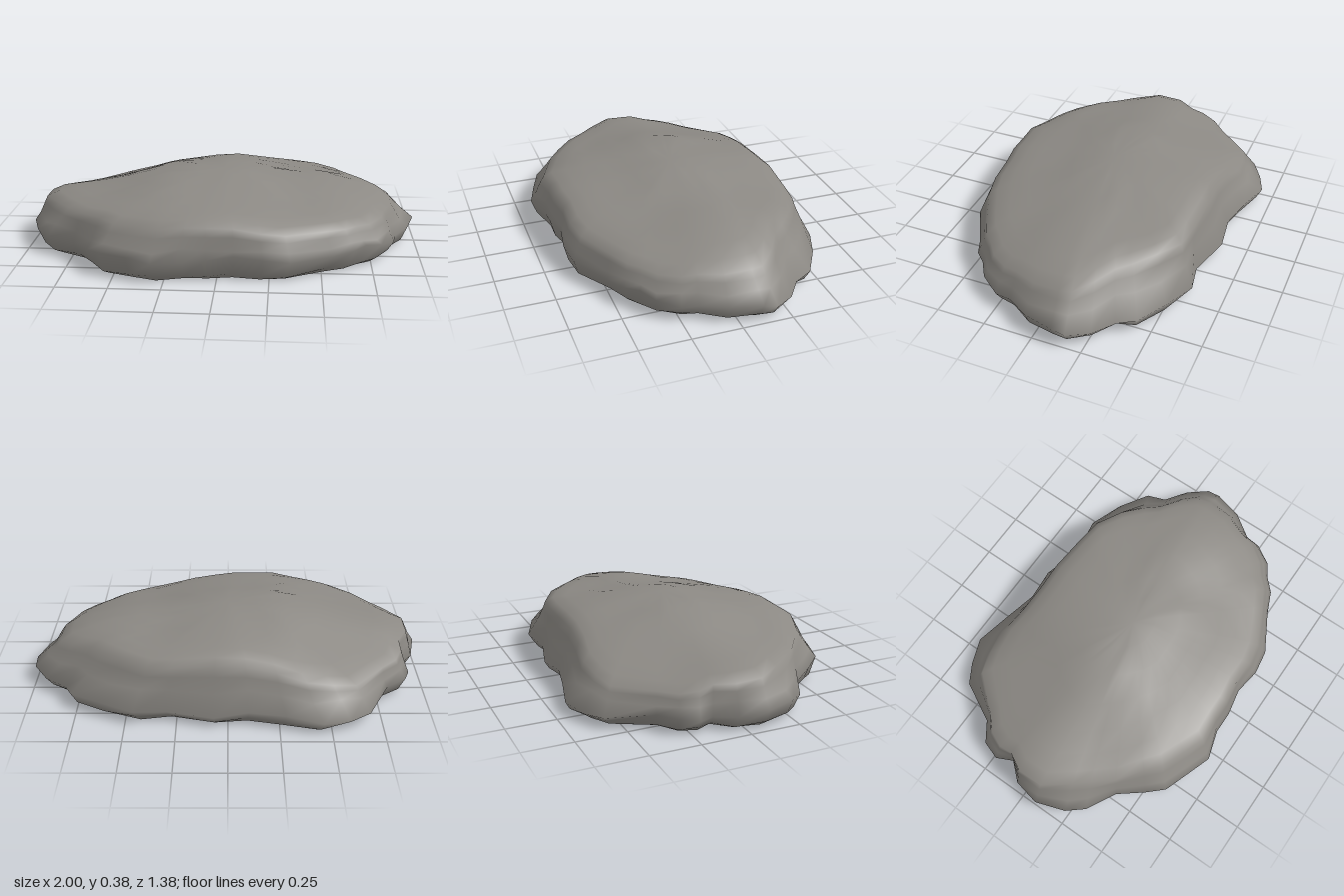
import * as THREE from 'three';

// Widest outline of the stone, clockwise from above: [x, z, inset of the upper rim]
const OUTLINE = [
  [1, -0.17, 0.86], [1, -0.1, 0.87], [0.96, 0.05, 0.9], [0.88, 0.17, 0.93], [0.87, 0.25, 0.92],
  [0.8, 0.35, 0.92], [0.72, 0.4, 0.93], [0.66, 0.46, 0.93], [0.55, 0.51, 0.94], [0.35, 0.62, 0.92],
  [0.22, 0.64, 0.93], [0.08, 0.62, 0.96], [-0.05, 0.645, 0.95], [-0.16, 0.645, 0.95], [-0.31, 0.69, 0.9],
  [-0.43, 0.65, 0.89], [-0.57, 0.6, 0.88], [-0.64, 0.52, 0.9], [-0.73, 0.4, 0.95], [-0.88, 0.32, 0.88],
  [-0.95, 0.24, 0.88], [-1, 0.09, 0.93], [-0.97, -0.05, 0.96], [-0.89, -0.14, 0.99], [-0.93, -0.22, 0.95],
  [-0.9, -0.31, 0.94], [-0.8, -0.38, 0.96], [-0.69, -0.59, 0.9], [-0.59, -0.65, 0.86], [-0.46, -0.695, 0.82],
  [-0.28, -0.65, 0.84], [-0.1, -0.61, 0.88], [0.07, -0.63, 0.86], [0.3, -0.57, 0.93], [0.46, -0.6, 0.86],
  [0.63, -0.53, 0.83], [0.78, -0.44, 0.8], [0.82, -0.35, 0.83], [0.93, -0.27, 0.84],
];

// Crown height falloff along each axis: [position, fraction]
const ALONG_X = [[-1, 0.58], [-0.9, 0.67], [-0.6, 0.79], [-0.4, 0.9], [-0.27, 1.02], [0, 0.98], [0.2, 0.94],
  [0.3, 0.88], [0.55, 0.85], [0.8, 0.69], [0.9, 0.57], [1, 0.45]];
const ALONG_Z = [[-0.7, 0.66], [-0.52, 0.81], [-0.45, 0.87], [-0.3, 0.93], [-0.1, 1], [0.1, 0.97],
  [0.3, 0.87], [0.45, 0.83], [0.6, 0.72], [0.7, 0.62]];

function sample(table, t) {
  for (let i = 1; i < table.length; i++) {
    const [t0, v0] = table[i - 1], [t1, v1] = table[i];
    if (t <= t1) return v0 + (v1 - v0) * Math.max(0, (t - t0) / (t1 - t0));
  }
  return table[table.length - 1][1];
}

// Crown height; the front-left and back-right shoulders slope away more softly
function crown(x, z) {
  const a = sample(ALONG_X, x), b = sample(ALONG_Z, z);
  const shoulder = 1 - 0.75 * Math.max(0, x * z) - 0.25 * Math.abs(x * z);
  const ripple = 0.004 * Math.sin(9 * x + 5 * z) * Math.cos(8 * z - 3 * x);
  return 0.39 * (0.5 * Math.min(a, b) + 0.5 * a * b) * shoulder + ripple;
}

function stoneGeometry() {
  const n = OUTLINE.length, positions = [], index = [];
  const wall = (top, f) => 0.085 + (top - 0.085) * f;
  // Each ring gives the plan scale and height for an outline point;
  // the back wall draws in lower down than the front wall
  const rings = [
    () => [0.925, 0],
    (r, top, z, j) => [0.965, 0.024 + 0.008 * Math.sin(j * 1.9)],
    (r, top, z, j) => [1, 0.085 + 0.035 * z + 0.015 * Math.sin(j * 1.3)],
    (r, top, z, j) => [1 + (r - 1) * (0.45 - 0.2 * z), wall(top, 0.37) + 0.01 * Math.sin(j * 2.1)],
    (r, top, z) => [1 + (r - 1) * (0.78 - 0.1 * z), wall(top, 0.7)],
    (r, top) => [r, wall(top, 0.92)],
    ...[0.93, 0.82, 0.68, 0.52, 0.35, 0.17].map((k) => (r) => [r * k, null]),
  ];
  for (const ring of rings) {
    OUTLINE.forEach(([x, z, rim], j) => {
      const [s, y] = ring(rim, crown(x * rim, z * rim), z, j);
      positions.push(x * s, y === null ? crown(x * s, z * s) : y, z * s);
    });
  }
  for (let i = 0; i < rings.length - 1; i++) {
    for (let j = 0; j < n; j++) {
      const a = i * n + j, b = i * n + (j + 1) % n;
      index.push(a, a + n, b, b, a + n, b + n);
    }
  }
  // Close the crown
  const last = (rings.length - 1) * n, centre = positions.length / 3;
  positions.push(0, crown(0, 0), 0);
  for (let j = 0; j < n; j++) index.push(last + j, centre, last + (j + 1) % n);
  const geometry = new THREE.BufferGeometry();
  geometry.setAttribute('position', new THREE.Float32BufferAttribute(positions, 3));
  geometry.setIndex(index);
  geometry.computeVertexNormals();
  return geometry;
}

// Flat underside matching the lowest ring
function undersideGeometry() {
  const shape = new THREE.Shape(OUTLINE.map(([x, z]) => new THREE.Vector2(x * 0.925, z * 0.925)));
  return new THREE.ShapeGeometry(shape).rotateX(Math.PI / 2);
}

export function createModel() {
  const group = new THREE.Group();
  group.name = 'flatRock';
  const stone = new THREE.MeshStandardMaterial({ color: 0x8c8984 });
  stone.name = 'stoneGrey';
  const body = new THREE.Mesh(stoneGeometry(), stone);
  body.name = 'rockBody';
  const underside = new THREE.Mesh(undersideGeometry(), stone);
  underside.name = 'rockUnderside';
  group.add(body, underside);
  return group;
}
